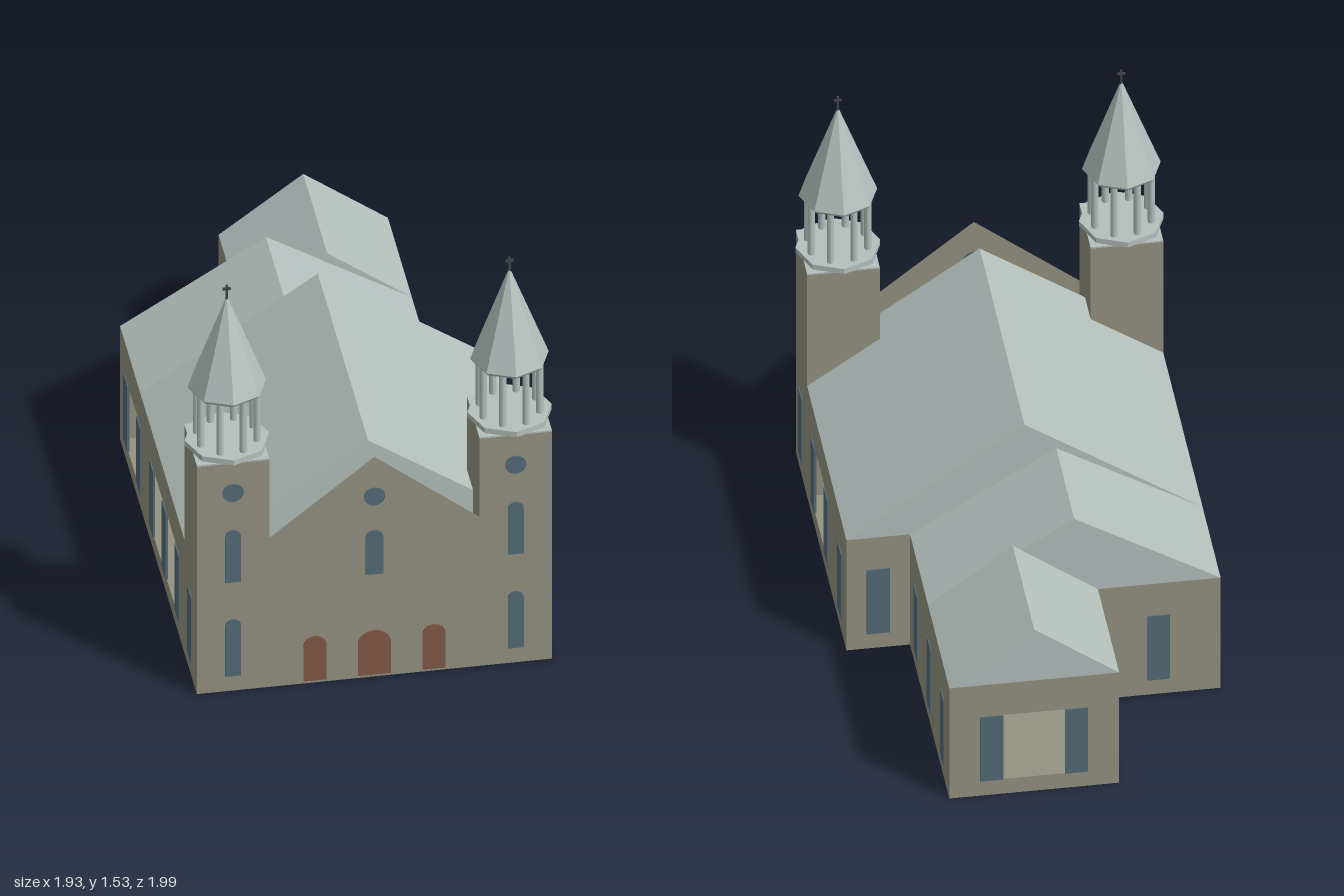
import * as THREE from 'three';

const mat = (name, color, side = THREE.FrontSide) => {
  const m = new THREE.MeshStandardMaterial({ color, side });
  m.name = name;
  return m;
};

export function createModel() {
  const stone = mat('stone', 0x949280, THREE.DoubleSide);
  const slate = mat('slate', 0xb4bfbc);
  const glass = mat('glass', 0x546b77);
  const wood = mat('wood', 0x825b47);
  const iron = mat('iron', 0x3f4446);

  const model = new THREE.Group();
  model.name = 'church';
  // the whole building stands turned in plan
  const church = new THREE.Group();
  church.name = 'building';
  church.rotation.y = THREE.MathUtils.degToRad(-37.2);
  model.add(church);

  const add = (parent, name, geo, material, x = 0, y = 0, z = 0) => {
    const m = new THREE.Mesh(geo, material);
    m.name = name;
    m.position.set(x, y, z);
    parent.add(m);
    return m;
  };
  const faceted = (geo) => {
    const g = geo.toNonIndexed();
    g.computeVertexNormals();
    return g;
  };
  const polygon = (pts) => new THREE.Shape(pts.map(([x, y]) => new THREE.Vector2(x, y)));

  // plan: x to the right, t towards the back (z = -t)
  const L = -0.599, R = 0.577, MID = -0.011, FRONT = -0.811, TW = 0.24;
  const NAVE = 0.269, CHOIR = 0.654, APSE = 1.108, WING = 0.367, APSE_L = -0.194;
  const EAVE = 0.452, SILL = 0.06, HEAD = 0.322, HALF = 0.038;
  const TOWER_BACK = FRONT + TW;

  // floor
  const floor = new THREE.ShapeGeometry(polygon([
    [L, FRONT], [R, FRONT], [R, NAVE], [WING, NAVE], [WING, APSE],
    [APSE_L, APSE], [APSE_L, CHOIR], [L, CHOIR],
  ]));
  floor.rotateX(-Math.PI / 2);
  add(church, 'floor', floor, stone);

  // thin wall with window strips; openings[i] lies between windows i and i + 1
  const wall = (name, [x0, t0], [x1, t1], windows, openings = []) => {
    const g = new THREE.Group();
    g.name = name;
    g.position.set(x0, 0, -t0);
    g.rotation.y = Math.atan2(t1 - t0, x1 - x0);
    church.add(g);
    const len = Math.hypot(x1 - x0, t1 - t0);
    const shape = polygon([[0, 0], [len, 0], [len, EAVE], [0, EAVE]]);
    for (const i of openings) {
      const a = windows[i] + HALF, b = windows[i + 1] - HALF;
      shape.holes.push(polygon([[a, SILL], [a, HEAD], [b, HEAD], [b, SILL]]));
    }
    add(g, 'wallPanel', new THREE.ShapeGeometry(shape), stone);
    for (const d of windows) {
      add(g, 'sideWindow', new THREE.BoxGeometry(HALF * 2, HEAD - SILL, 0.008), glass,
        d, (SILL + HEAD) / 2, 0);
    }
  };
  wall('naveRightWall', [R, TOWER_BACK], [R, NAVE], [-0.129, 0.135, 0.416, 0.708], [1]);
  wall('naveBackWall', [R, NAVE], [WING, NAVE], [0.105]);
  wall('choirRightWall', [WING, NAVE], [WING, APSE], [0.14, 0.42, 0.7]);
  wall('apseEndWall', [WING, APSE], [APSE_L, APSE], [0.14, 0.42], [0]);
  wall('apseLeftWall', [APSE_L, APSE], [APSE_L, CHOIR], [0.1135, 0.3405], [0]);
  wall('choirBackWall', [APSE_L, CHOIR], [L, CHOIR], [0.2]);
  wall('leftWall', [L, CHOIR], [L, TOWER_BACK],
    [0.122, 0.366, 0.61, 0.854, 1.099, 1.343], [0, 2, 3]);

  // gabled roofs as triangular prisms
  const roof = (name, a, b, ridge, t0, t1) => add(church, name,
    new THREE.ExtrudeGeometry(polygon([[a, EAVE], [b, EAVE], [(a + b) / 2, ridge]]),
      { depth: t1 - t0, bevelEnabled: false }), slate, 0, 0, -t1);
  roof('naveRoof', L, R, 0.858, -0.69, NAVE);
  roof('choirRoof', L, WING, 0.749, NAVE - 0.002, CHOIR);
  roof('apseRoof', APSE_L, WING, 0.661, CHOIR - 0.002, APSE);

  // front gable wall between the towers
  add(church, 'frontGable', new THREE.ShapeGeometry(polygon([
    [L + TW, 0], [R - TW, 0], [R - TW, 0.595], [MID, 0.876], [L + TW, 0.595],
  ])), stone, 0, 0, -FRONT);

  // thin plates on the front
  const plate = (name, shape, material) => add(church, name,
    new THREE.ExtrudeGeometry(shape, { depth: 0.006, bevelEnabled: false, curveSegments: 10 }),
    material, 0, 0, -FRONT - 0.002);
  const arch = (name, x, w, y0, y1, material) => {
    const r = w / 2, s = new THREE.Shape();
    s.moveTo(x - r, y0);
    s.lineTo(x + r, y0);
    s.lineTo(x + r, y1 - r);
    s.absarc(x, y1 - r, r, 0, Math.PI, false);
    s.lineTo(x - r, y0);
    plate(name, s, material);
  };
  const oculus = (x, y) => {
    const s = new THREE.Shape();
    s.absarc(x, y, 0.035, 0, Math.PI * 2, false);
    plate('roundWindow', s, glass);
  };
  oculus(MID, 0.72);
  arch('gableWindow', MID, 0.058, 0.41, 0.585, glass);
  arch('mainDoor', MID, 0.11, 0.01, 0.186, wood);
  for (const side of [-1, 1]) arch('sideDoor', MID + side * 0.197, 0.076, 0.01, 0.186, wood);

  // towers with open belfries and eight-sided spires
  for (const x of [L + TW / 2, R - TW / 2]) {
    oculus(x, 0.79);
    arch('upperTowerWindow', x, 0.052, 0.434, 0.641, glass);
    arch('lowerTowerWindow', x, 0.052, 0.06, 0.285, glass);

    const tower = new THREE.Group();
    tower.name = 'tower';
    tower.position.set(x, 0, -(FRONT + TW / 2));
    church.add(tower);
    add(tower, 'towerShaft', new THREE.BoxGeometry(TW, 0.906, TW), stone, 0, 0.453, 0);
    add(tower, 'towerTop', new THREE.BoxGeometry(TW, 0.006, TW), slate, 0, 0.909, 0);
    add(tower, 'belfryFloor', faceted(new THREE.CylinderGeometry(0.14, 0.14, 0.02, 8)), slate, 0, 0.922, 0);
    for (let i = 0; i < 8; i++) {
      const a = (i + 0.5) * Math.PI / 4;
      add(tower, 'belfryColumn', new THREE.CylinderGeometry(0.012, 0.012, 0.205, 10), slate,
        Math.sin(a) * 0.101, 1.033, Math.cos(a) * 0.101);
    }
    add(tower, 'spireEave', faceted(new THREE.CylinderGeometry(0.13, 0.122, 0.012, 8)), slate, 0, 1.138, 0);
    add(tower, 'spire', faceted(new THREE.ConeGeometry(0.13, 0.35, 8)), slate, 0, 1.319, 0);
    add(tower, 'crossPost', new THREE.BoxGeometry(0.008, 0.06, 0.008), iron, 0, 1.504, 0);
    add(tower, 'crossArm', new THREE.BoxGeometry(0.026, 0.007, 0.008), iron, 0, 1.52, 0);
  }
  return model;
}
